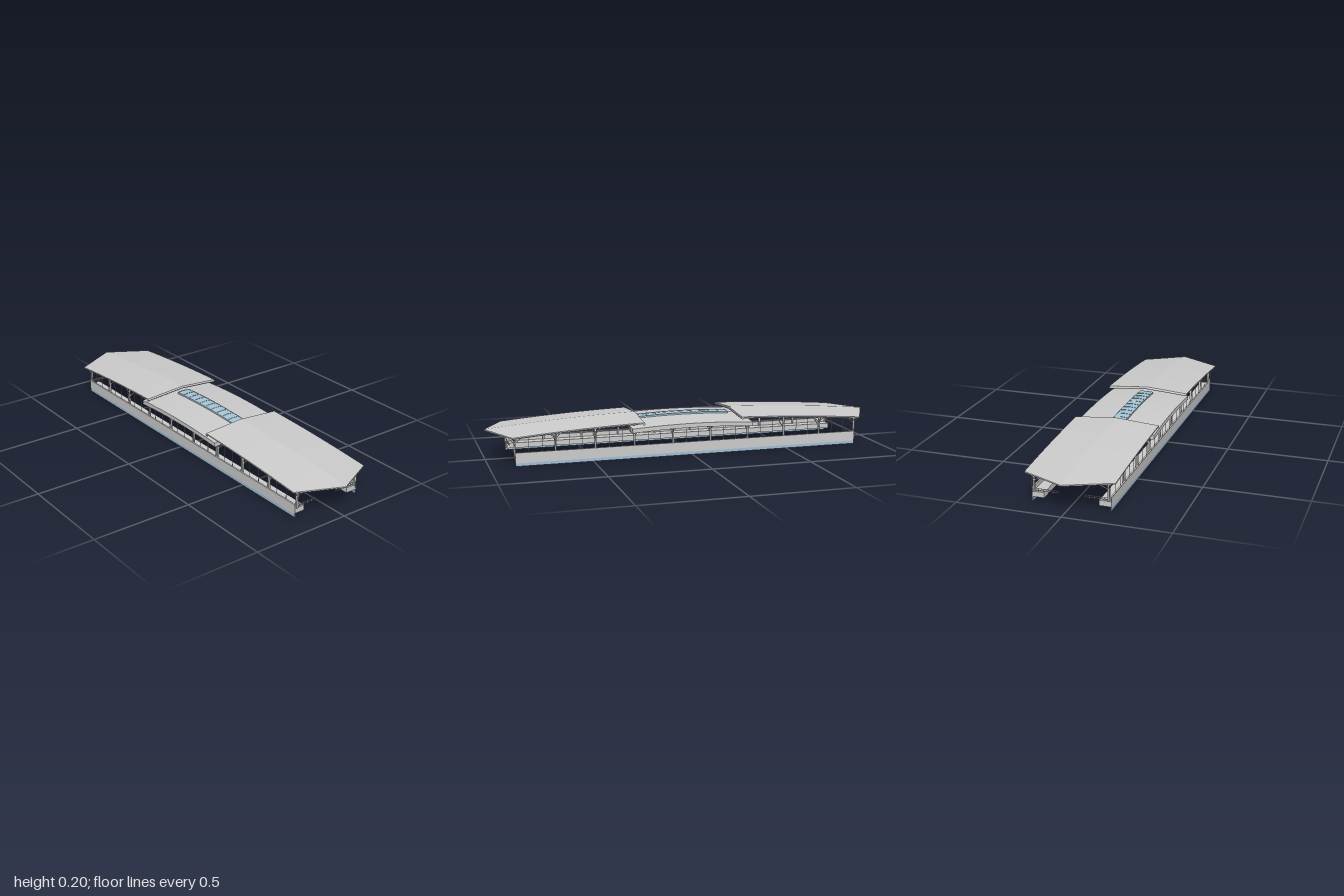
import * as THREE from 'three';
import { mergeGeometries } from 'three/addons/utils/BufferGeometryUtils.js';

const SLOPE = 0.077;
const outerRidge = x => 0.2 - 0.05 * x * x;
const midRidge = x => 0.178 - 0.12 * x * x;
const outerHalf = x => Math.abs(x) < 0.893 ? 0.213 : Math.max(0.0005, 0.213 * (1 - Math.abs(x)) / 0.107);
// Underside height of whichever roof covers a point
const under = (x, z) => (Math.abs(x) < 0.3 ? midRidge(x) : outerRidge(x)) - SLOPE * Math.abs(z) - 0.006;

const V = (x, y, z) => new THREE.Vector3(x, y, z);
const grey = new THREE.MeshStandardMaterial({ color: 0xcccccc, flatShading: true, side: THREE.DoubleSide });
const blue = new THREE.MeshStandardMaterial({ color: 0x9fbfd6 });
const glass = new THREE.MeshStandardMaterial({ color: 0xa4c6d8, flatShading: true, side: THREE.DoubleSide });

// Square bar between two points
function bar(a, b, w, h = w) {
  const g = new THREE.BoxGeometry(w, h, a.distanceTo(b));
  const m = new THREE.Matrix4().lookAt(b, a, V(0, 1, 0));
  return g.applyMatrix4(m.setPosition(a.clone().add(b).multiplyScalar(0.5)));
}

function box(x0, x1, y0, y1, z0, z1) {
  return new THREE.BoxGeometry(x1 - x0, y1 - y0, Math.abs(z1 - z0))
    .translate((x0 + x1) / 2, (y0 + y1) / 2, (z0 + z1) / 2);
}

// Closed skin through equal-length outlines
function loft(sections) {
  const n = sections[0].length, pos = [], idx = [];
  sections.forEach(s => s.forEach(p => pos.push(p.x, p.y, p.z)));
  for (let i = 0; i < sections.length - 1; i++) {
    for (let j = 0; j < n; j++) {
      const k = (j + 1) % n, a = i * n + j, b = i * n + k;
      idx.push(a, b, b + n, a, b + n, a + n);
    }
  }
  const last = (sections.length - 1) * n;
  for (let j = 1; j < n - 1; j++) {
    if (n === 6 && j > 2) break;
    if (n === 6) continue;
    idx.push(0, j + 1, j, last, last + j, last + j + 1);
  }
  // Gabled outlines are capped as two quads
  if (n === 6) for (const [a, b, c, d] of [[0, 1, 4, 5], [1, 2, 3, 4]]) {
    idx.push(a, c, b, a, d, c, last + a, last + b, last + c, last + a, last + c, last + d);
  }
  const g = new THREE.BufferGeometry();
  g.setAttribute('position', new THREE.Float32BufferAttribute(pos, 3));
  g.setIndex(idx);
  g.computeVertexNormals();
  return g;
}

const range = (a, b, n) => Array.from({ length: n + 1 }, (_, i) => a + (b - a) * i / n);

// Gabled roof sheet following a ridge curve
function gable(xs, ridge, half, t) {
  return loft(xs.map(x => {
    const w = half(x), r = ridge(x), e = r - SLOPE * w;
    return [V(x, e, -w), V(x, r, 0), V(x, e, w), V(x, e - t, w), V(x, r - t, 0), V(x, e - t, -w)];
  }));
}

export function createModel() {
  const group = new THREE.Group();
  const add = (name, geos, mat = grey) => {
    const mesh = new THREE.Mesh(mergeGeometries(geos.map(g => g.index ? g.toNonIndexed() : g).map(g => {
      g.deleteAttribute('uv');
      return g;
    })), mat);
    mesh.name = name;
    group.add(mesh);
  };
  const sides = [-1, 1];
  const columnXs = range(-0.8775, 0.8775, 9);

  // Roofs
  const half = [...range(0.25, 0.893, 16), ...range(0.911, 1, 5)];
  add('leftRoof', [gable(half, outerRidge, outerHalf, 0.006)]);
  add('rightRoof', [gable(half.map(x => -x).reverse(), outerRidge, outerHalf, 0.006)]);
  add('middleRoof', [gable(range(-0.31, 0.31, 18), midRidge, () => 0.207, 0.005)]);

  // Rounded lips where the outer roofs overhang the middle one
  const lips = [];
  for (const sx of sides) for (const sz of sides) {
    const a = V(sx * 0.254, outerRidge(0.25) - 0.007, 0);
    const b = V(sx * 0.254, outerRidge(0.25) - SLOPE * 0.213 - 0.007, sz * 0.213);
    const g = new THREE.CylinderGeometry(0.007, 0.007, a.distanceTo(b), 10);
    g.applyQuaternion(new THREE.Quaternion().setFromUnitVectors(V(0, 1, 0), b.clone().sub(a).normalize()));
    lips.push(g.translate((a.x + b.x) / 2, (a.y + b.y) / 2, (a.z + b.z) / 2));
  }
  add('roofLips', lips);

  // Low soffit boxes below the middle eaves
  add('middleEaves', sides.map(s => loft(range(-0.31, 0.31, 18).map(x => {
    const e = midRidge(x) - SLOPE * 0.207 - 0.004;
    const p = [V(x, e, s * 0.207), V(x, e - 0.017, s * 0.207), V(x, e - 0.017, s * 0.15), V(x, e + 0.002, s * 0.15)];
    return s > 0 ? p : p.reverse();
  }))));

  // Skylight with glazing bars
  const lightXs = range(-0.235, 0.235, 10);
  add('skylight', [gable(lightXs, x => midRidge(x) + 0.007, () => 0.035, 0.008)], glass);
  const glazing = [];
  lightXs.forEach((x, i) => sides.forEach(s => {
    const top = V(x, midRidge(x) + 0.0075, 0), eave = V(x, midRidge(x) + 0.0047, s * 0.035);
    glazing.push(bar(top, eave, 0.002));
    if (i) {
      const q = lightXs[i - 1];
      glazing.push(bar(V(q, midRidge(q) + 0.0047, s * 0.035), eave, 0.002));
    }
  }));
  add('skylightFrame', glazing);

  // Platforms, walls and the coloured band along the wall base
  add('platforms', sides.map(s => box(-0.875, 0.875, 0.019, 0.045, s * 0.13, s * 0.184)));
  add('sideWalls', sides.map(s => box(-0.877, 0.877, 0.015, 0.065, s * 0.183, s * 0.187)));
  add('wallBands', sides.map(s => box(-0.877, 0.877, 0, 0.015, s * 0.183, s * 0.187)), blue);
  add('wallCaps', sides.map(s => box(-0.877, 0.877, 0.063, 0.066, s * 0.181, s * 0.189)));

  // Columns with lengthwise struts, and slim wall posts
  const columns = [], struts = [], posts = [];
  for (const s of sides) {
    for (const x of columnXs) {
      const top = under(x, 0.175);
      columns.push(box(x - 0.004, x + 0.004, 0.045, top, s * 0.171, s * 0.179));
      for (const d of sides) {
        struts.push(bar(V(x, top - 0.035, s * 0.175), V(x + d * 0.028, top - 0.009, s * 0.175), 0.003));
      }
    }
    for (const x of range(-0.8775, 0.8775, 27)) {
      posts.push(box(x - 0.001, x + 0.001, 0.065, under(x, 0.185), s * 0.184, s * 0.186));
    }
  }
  add('columns', columns);
  add('columnStruts', struts);
  add('wallPosts', posts);

  // Cross trusses at every column pair
  const trusses = [];
  for (const x of columnXs) {
    const roofPoint = z => V(x, under(x, z) - 0.004, z);
    trusses.push(bar(V(x, 0.13, -0.11), V(x, 0.13, 0.11), 0.003));
    for (const s of sides) {
      trusses.push(bar(roofPoint(0), roofPoint(s * 0.203), 0.004, 0.007));
      trusses.push(bar(V(x, 0.103, s * 0.175), V(x, 0.13, s * 0.11), 0.004));
      trusses.push(bar(V(x, 0.118, s * 0.175), V(x, under(x, 0.2) - 0.004, s * 0.2), 0.003));
      trusses.push(bar(V(x, 0.13, s * 0.11), roofPoint(s * 0.15), 0.003));
      trusses.push(bar(V(x, 0.13, s * 0.11), roofPoint(s * 0.075), 0.0025));
      trusses.push(bar(roofPoint(s * 0.075), V(x, 0.13, s * 0.045), 0.0025));
      trusses.push(bar(V(x, 0.13, s * 0.045), roofPoint(0), 0.0025));
    }
  }
  add('trusses', trusses);

  // Purlins following the roof curves
  const purlins = [];
  const run = (xs, ridge, z, drop, w, h) => {
    for (let i = 1; i < xs.length; i++) {
      const [a, b] = [xs[i - 1], xs[i]].map(x => V(x, ridge(x) - SLOPE * Math.abs(z) - drop, z));
      purlins.push(bar(a, b, w, h));
    }
  };
  for (const z of [0, 0.04, 0.08, 0.12, 0.16, 0.2]) for (const s of z ? sides : [1]) {
    const end = Math.min(0.98, 1 - 0.107 * z / 0.213 - 0.012);
    for (const d of sides) run(range(d * 0.265, d * end, 8), outerRidge, s * z, 0.008, 0.003, 0.005);
    if (z < 0.15) run(range(-0.305, 0.305, 8), midRidge, s * z, 0.007, 0.003, 0.004);
  }
  // Deeper beams over the column lines
  for (const s of sides) {
    for (const d of sides) run(range(d * 0.28, d * 0.89, 8), outerRidge, s * 0.175, 0.013, 0.005, 0.012);
    run(range(-0.3, 0.3, 8), midRidge, s * 0.175, 0.015, 0.005, 0.012);
  }
  add('purlins', purlins);

  // Railings across the platform ends
  const rails = [];
  for (const sx of sides) for (const s of sides) {
    const x = sx * 0.873;
    for (const y of [0.052, 0.06]) rails.push(bar(V(x, y, s * 0.061), V(x, y, s * 0.183), 0.002));
    for (const z of range(0.062, 0.18, 5)) rails.push(bar(V(x, 0.045, s * z), V(x, 0.06, s * z), 0.002));
  }
  add('endRailings', rails);

  return group;
}
